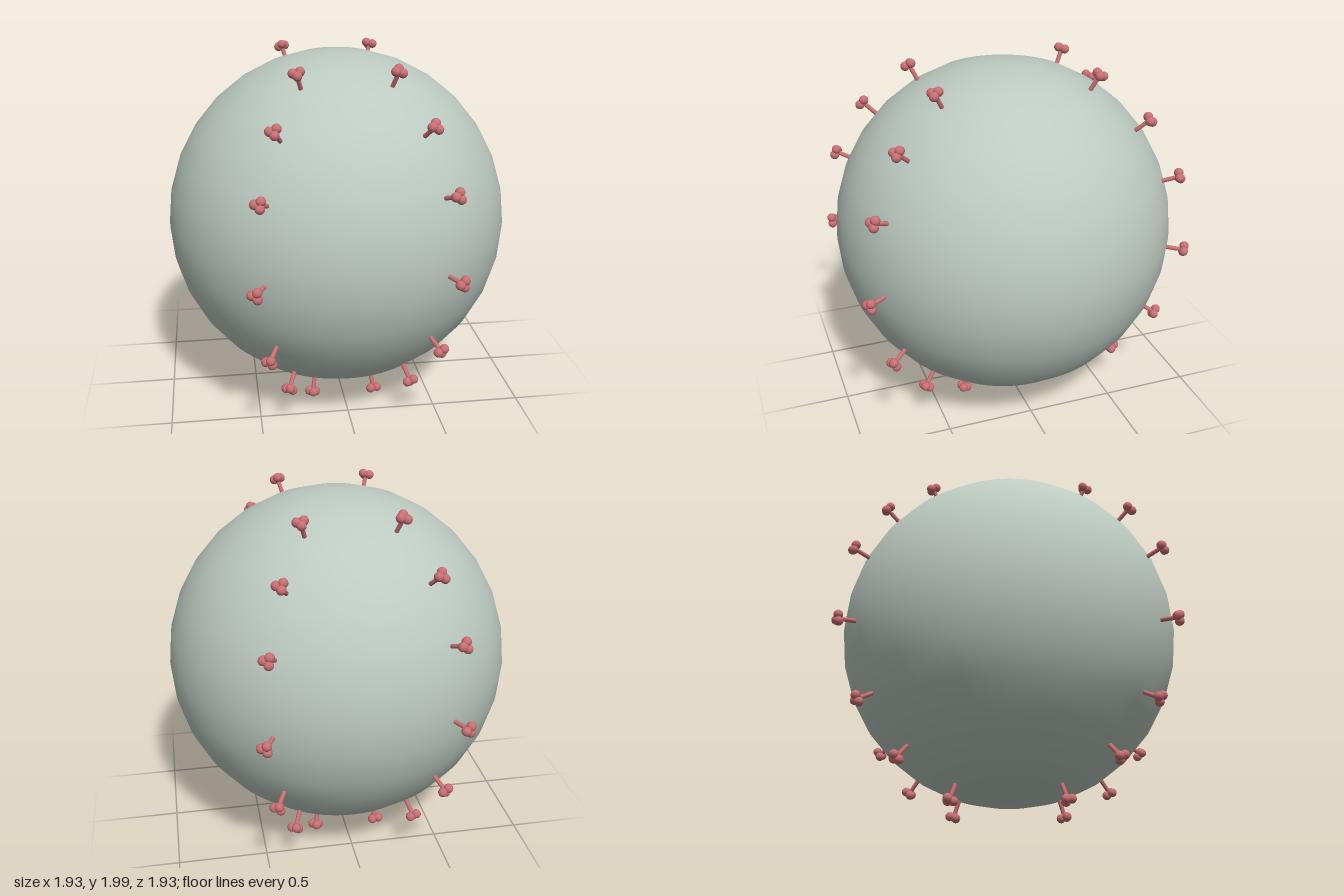
import * as THREE from 'three';

const RADIUS = 0.965;
const CENTRE_Y = 1.035;

export function createModel() {
  const model = new THREE.Group();
  const shell = new THREE.MeshStandardMaterial({ color: 0xbccac1 });
  shell.name = 'pale sage';
  const coral = new THREE.MeshStandardMaterial({ color: 0xc96f72 });
  coral.name = 'coral red';

  // Large smooth body
  const body = new THREE.Mesh(new THREE.SphereGeometry(RADIUS, 64, 16), shell);
  body.name = 'body';
  body.position.y = CENTRE_Y;
  model.add(body);

  const stemGeometry = new THREE.CylinderGeometry(0.012, 0.012, 0.12, 12);
  const budGeometry = new THREE.SphereGeometry(0.026, 16, 12);

  // One spike: a thin stem with three buds around its tip
  function makeSpike() {
    const spike = new THREE.Group();
    spike.name = 'spike';
    const stem = new THREE.Mesh(stemGeometry, coral);
    stem.name = 'stem';
    stem.position.y = 1.0;
    spike.add(stem);
    for (let i = 0; i < 3; i++) {
      const a = Math.PI + (i * Math.PI * 2) / 3;
      const bud = new THREE.Mesh(budGeometry, coral);
      bud.name = 'bud';
      bud.position.set(0.022 * Math.cos(a), 1.061, 0.022 * Math.sin(a));
      spike.add(bud);
    }
    return spike;
  }

  // Four columns of seven spikes, pointing straight out from the body
  for (const azimuth of [30, 150, 210, 330]) {
    const column = new THREE.Group();
    column.name = 'spikeColumn';
    column.position.y = CENTRE_Y;
    column.rotation.y = THREE.MathUtils.degToRad(azimuth);
    for (const tilt of [30, 50, 70, 95, 120, 140, 160]) {
      const spike = makeSpike();
      spike.rotation.x = THREE.MathUtils.degToRad(tilt);
      column.add(spike);
    }
    model.add(column);
  }
  return model;
}
